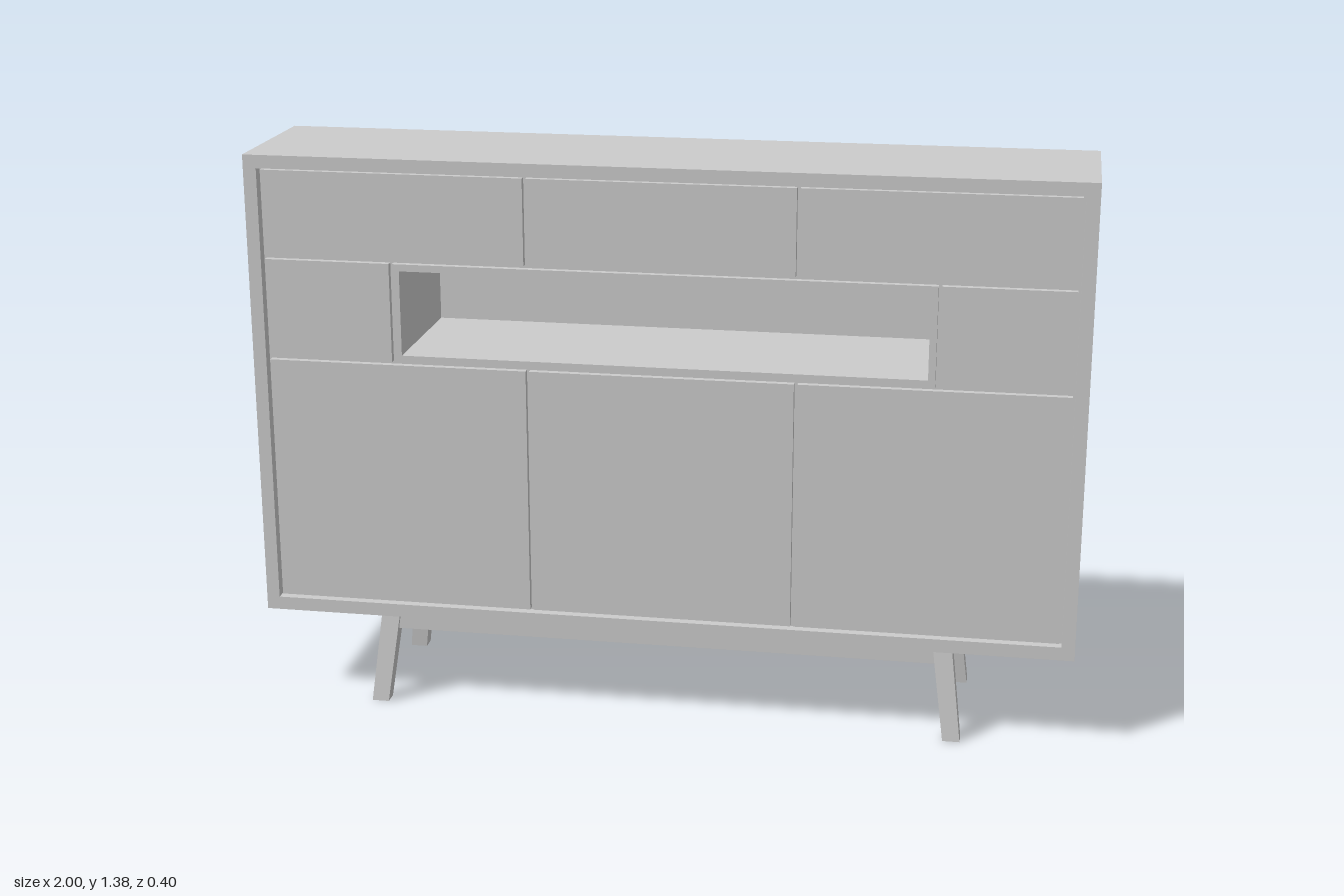
import * as THREE from 'three';

const mat = new THREE.MeshStandardMaterial({ color: 0xcccccc, flatShading: true });

// Box given by its limits on each axis
function box(name, x0, x1, y0, y1, z0, z1) {
  const mesh = new THREE.Mesh(new THREE.BoxGeometry(x1 - x0, y1 - y0, z1 - z0), mat);
  mesh.position.set((x0 + x1) / 2, (y0 + y1) / 2, (z0 + z1) / 2);
  mesh.name = name;
  return mesh;
}

function rect(path, [x0, x1, y0, y1]) {
  return path.moveTo(x0, y0).lineTo(x1, y0).lineTo(x1, y1).lineTo(x0, y1).closePath();
}

// Rectangular frame with a rectangular opening, extruded along z
function frame(name, outer, hole, z0, z1) {
  const shape = rect(new THREE.Shape(), outer);
  shape.holes.push(rect(new THREE.Path(), hole));
  const geo = new THREE.ExtrudeGeometry(shape, { depth: z1 - z0, bevelEnabled: false });
  const mesh = new THREE.Mesh(geo.translate(0, 0, z0), mat);
  mesh.name = name;
  return mesh;
}

// Splayed, tapered leg: a box whose ends take their own limits
function leg(sx, sz) {
  const geo = new THREE.BoxGeometry(1, 1, 1);
  const p = geo.attributes.position;
  for (let i = 0; i < p.count; i++) {
    const top = p.getY(i) > 0;
    const [cx, cz, w, d] = top ? [0.686, 0.154, 0.046, 0.042] : [0.716, 0.179, 0.042, 0.037];
    p.setXYZ(i, sx * cx + p.getX(i) * w, top ? 0.235 : 0, sz * cz + p.getZ(i) * d);
  }
  geo.computeVertexNormals();
  const mesh = new THREE.Mesh(geo, mat);
  mesh.name = (sz > 0 ? 'front' : 'back') + (sx > 0 ? 'Left' : 'Right') + 'Leg';
  return mesh;
}

export function createModel() {
  const model = new THREE.Group();
  model.name = 'sideboard';
  const back = -0.188, front = 0.198, face = 0.188, gapFloor = 0.172;
  const inner = [-0.968, 0.968, 0.265, 1.353];
  const niche = [-0.63, 0.63, 0.906, 1.114];

  // Cabinet shell, back and the board behind the fronts
  model.add(frame('carcass', [-1, 1, 0.232, 1.385], inner, back, front));
  model.add(box('backPanel', -0.968, 0.968, 0.265, 1.353, back, -0.172));
  model.add(frame('frontBacking', inner, niche, gapFloor - 0.012, gapFloor));

  // Open shelf in the middle
  model.add(frame('openShelf', [-0.647, 0.647, 0.889, 1.131], niche, -0.172, face));

  // Drawer and door fronts in three columns, separated by narrow gaps
  const cols = [[-0.962, -0.326], [-0.318, 0.318], [0.326, 0.962]];
  cols.forEach(([x0, x1]) => {
    model.add(box('topDrawer', x0, x1, 1.139, 1.348, gapFloor, face));
    model.add(box('door', x0, x1, 0.27, 0.881, gapFloor, face));
  });
  model.add(box('smallDrawer', -0.962, -0.655, 0.889, 1.131, gapFloor, face));
  model.add(box('smallDrawer', 0.655, 0.962, 0.889, 1.131, gapFloor, face));

  // Base: four legs joined by rails
  const base = new THREE.Group();
  base.name = 'base';
  for (const s of [-1, 1]) {
    base.add(leg(s, 1), leg(s, -1));
    const z = s * 0.153, x = s * 0.686;
    base.add(box(s > 0 ? 'frontRail' : 'backRail', -0.68, 0.68, 0.189, 0.234, z - 0.015, z + 0.015));
    base.add(box(s > 0 ? 'leftRail' : 'rightRail', x - 0.015, x + 0.015, 0.189, 0.234, -0.145, 0.145));
  }
  model.add(base);
  return model;
}
